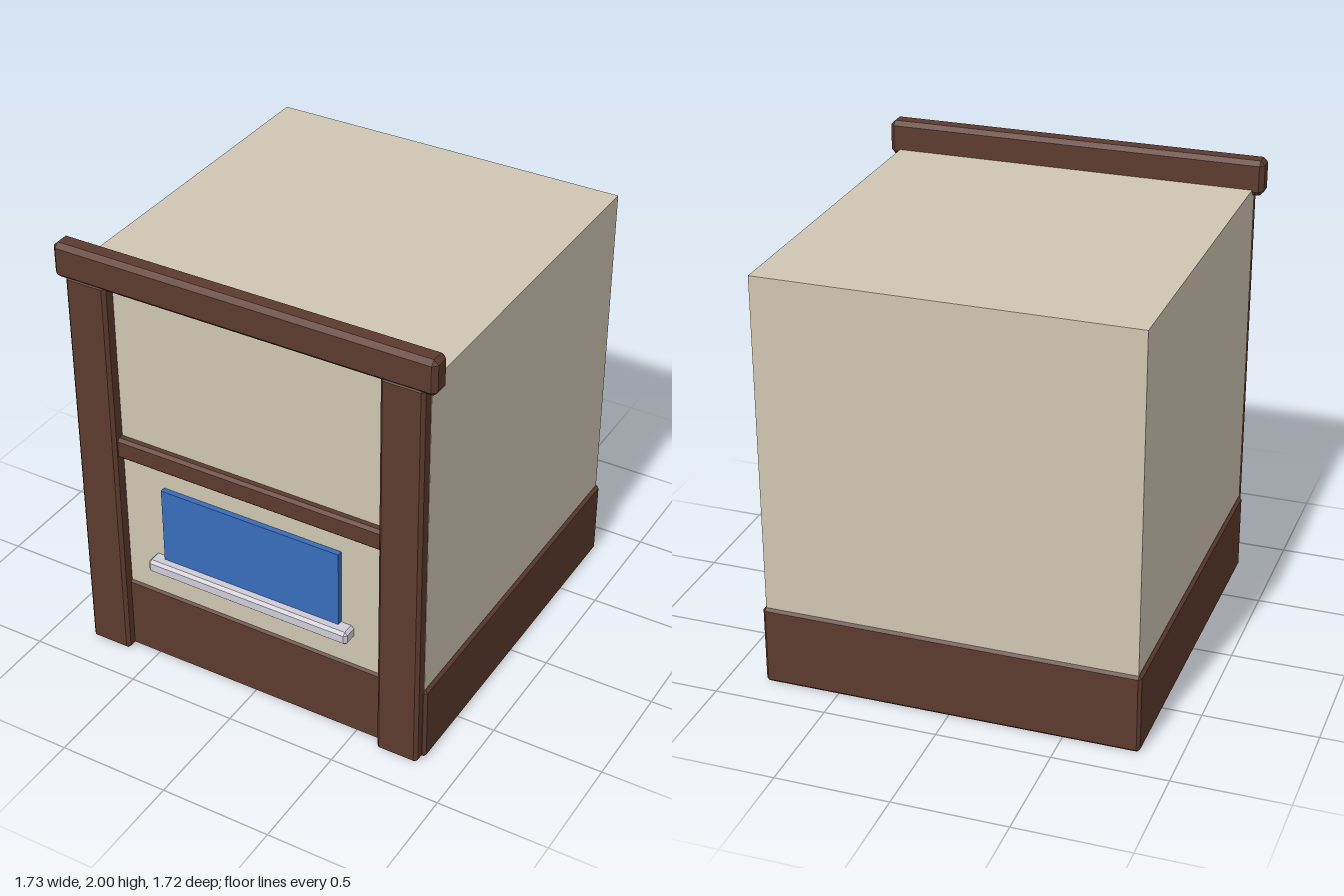
import * as THREE from 'three';
import { ConvexGeometry } from 'three/addons/geometries/ConvexGeometry.js';

// Box between two corners with every edge cut by a flat chamfer c
function chamferBox(min, max, c) {
  const size = max.map((v, i) => (v - min[i]) / 2);
  const points = [];
  for (const sx of [-1, 1]) for (const sy of [-1, 1]) for (const sz of [-1, 1]) {
    for (let axis = 0; axis < 3; axis++) {
      const s = [sx, sy, sz];
      points.push(new THREE.Vector3(...size.map((h, i) => s[i] * (i === axis ? h : h - c))));
    }
  }
  return new ConvexGeometry(points);
}

export function createModel() {
  const model = new THREE.Group();
  model.name = 'shopFrontBuilding';
  const material = (name, color) => {
    const m = new THREE.MeshStandardMaterial({ color });
    m.name = name;
    return m;
  };
  const wood = material('dark brown wood', 0x5d3b2e);
  const plaster = material('cream plaster', 0xd0c6b3);
  const glass = material('blue glass', 0x386cbc);
  const metal = material('pale grey sill', 0xcfccd6);

  // Places a part between its lowest and highest corners
  function addPart(name, mat, min, max, chamfer = 0) {
    const geometry = chamfer
      ? chamferBox(min, max, chamfer)
      : new THREE.BoxGeometry(...max.map((v, i) => v - min[i]));
    const mesh = new THREE.Mesh(geometry, mat);
    mesh.position.set(...max.map((v, i) => (v + min[i]) / 2));
    mesh.name = name;
    model.add(mesh);
  }

  // Body on a slightly wider plinth
  addPart('walls', plaster, [-0.818, 0.1, -0.846], [0.818, 1.87, 0.79]);
  addPart('plinth', wood, [-0.832, 0, -0.858], [0.832, 0.362, 0.8], 0.013);

  // Timber front frame
  for (const [name, x0, x1] of [['rightPillar', -0.817, -0.625], ['leftPillar', 0.625, 0.817]]) {
    addPart(name, wood, [x0, 0, 0.755], [x1, 1.86, 0.847], 0.014);
  }
  addPart('header', wood, [-0.866, 1.842, 0.757], [0.866, 2, 0.853], 0.02);
  addPart('middleRail', wood, [-0.64, 1.02, 0.76], [0.64, 1.12, 0.825], 0.013);

  // Window and sill
  addPart('window', glass, [-0.427, 0.545, 0.78], [0.427, 0.922, 0.815]);
  addPart('windowSill', metal, [-0.487, 0.5, 0.78], [0.487, 0.563, 0.858], 0.013);

  return model;
}
